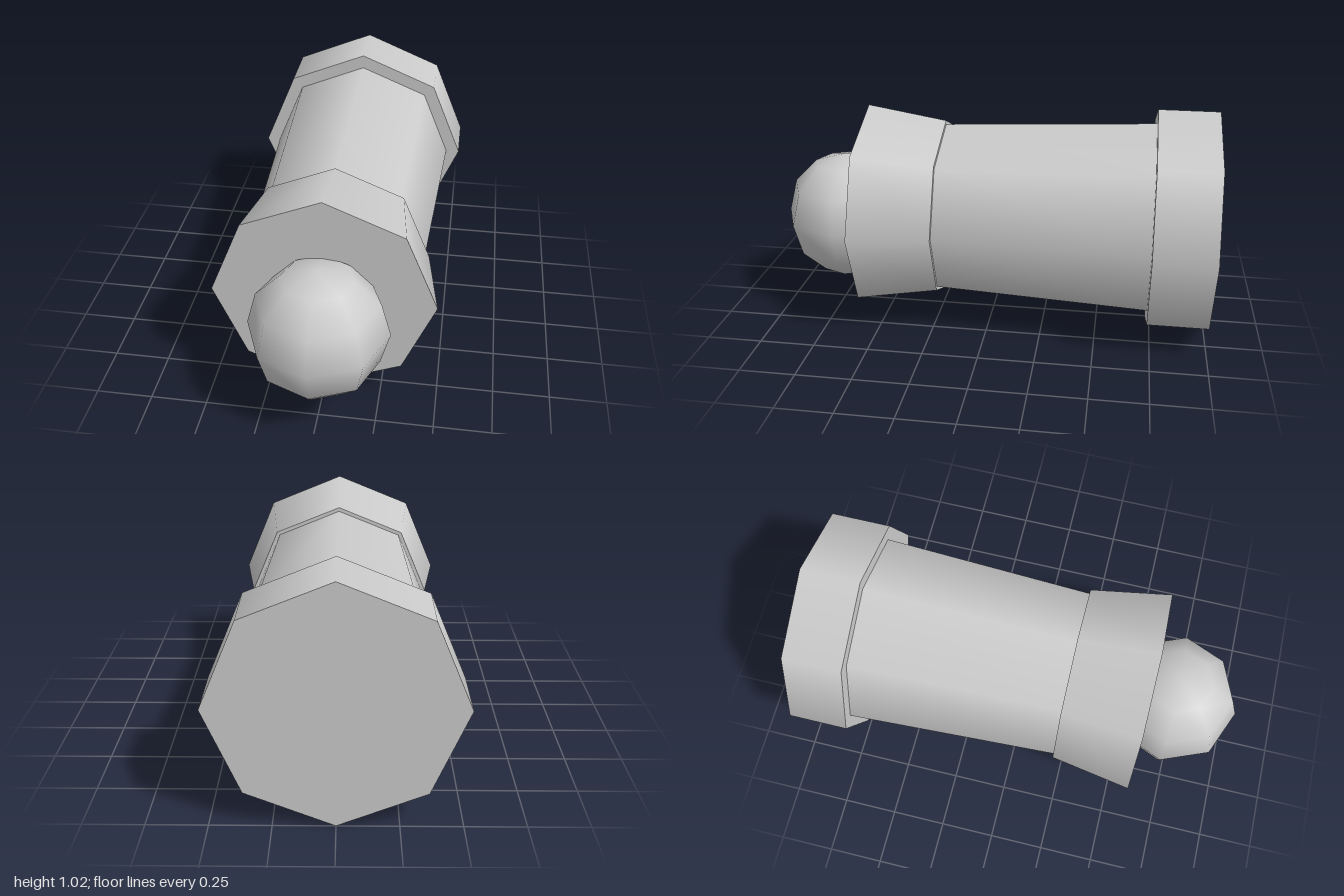
import * as THREE from 'three';

export function createModel() {
  const model = new THREE.Group();
  const grey = new THREE.MeshStandardMaterial({ color: 0xcccccc });
  grey.name = 'lightGrey';

  // Eight-sided section lying along z, from zBack to zFront
  function section(name, rBack, rFront, zBack, zFront) {
    const geometry = new THREE.CylinderGeometry(rFront, rBack, zFront - zBack, 8);
    geometry.rotateX(Math.PI / 2);
    const mesh = new THREE.Mesh(geometry, grey);
    mesh.name = name;
    mesh.position.set(0, 0.512, (zBack + zFront) / 2);
    model.add(mesh);
  }

  section('rearCollar', 0.512, 0.512, -1, -0.73);
  section('taperedBarrel', 0.447, 0.402, -0.73, 0.22);
  section('flaredMuzzle', 0.42, 0.48, 0.22, 0.58);

  // Ball set slightly low in the muzzle
  const ball = new THREE.Mesh(new THREE.SphereGeometry(0.3, 8, 6), grey);
  ball.name = 'ball';
  ball.position.set(0, 0.452, 0.7);
  model.add(ball);

  return model;
}
